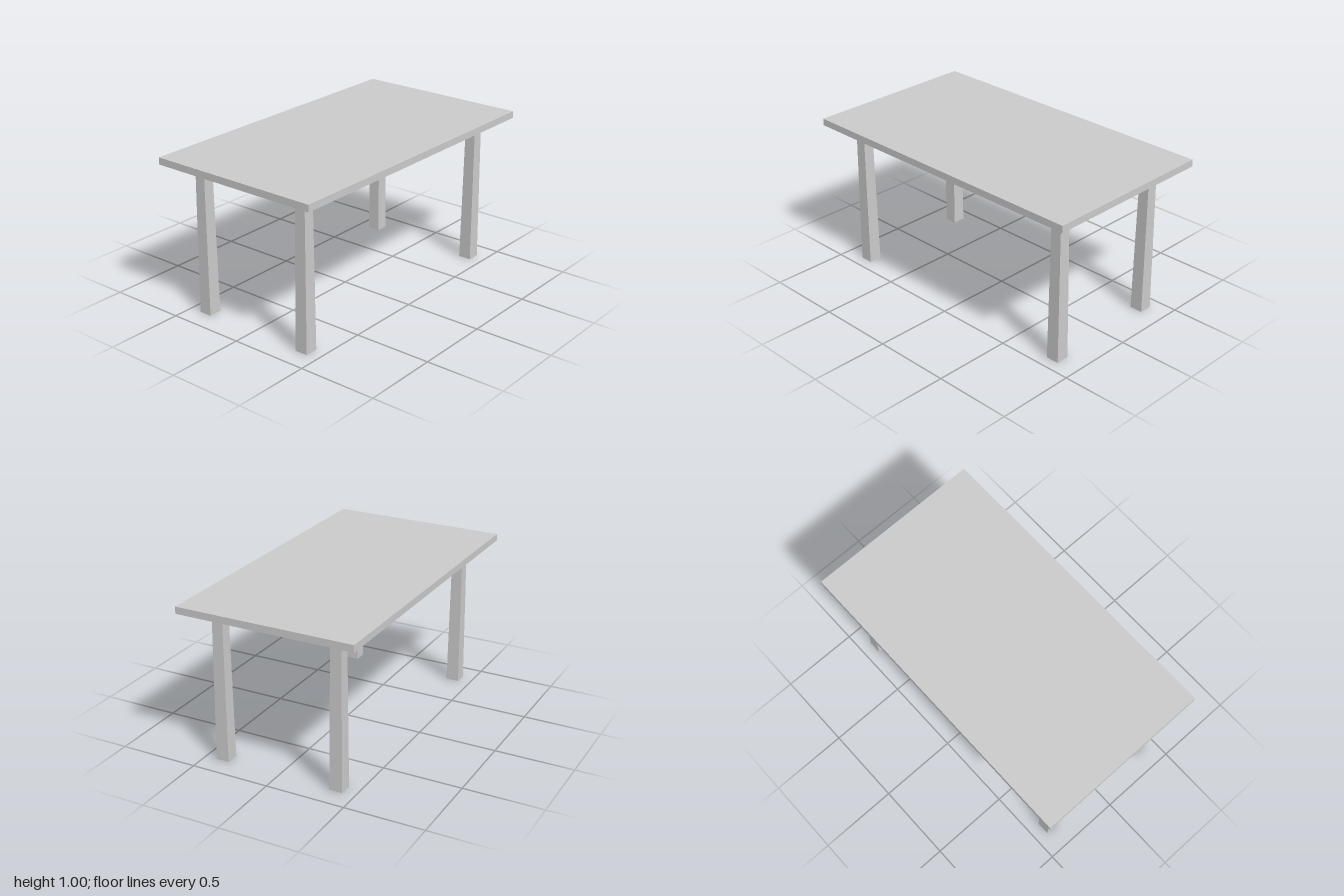
import * as THREE from 'three';

const material = new THREE.MeshStandardMaterial({ color: 0xcccccc, flatShading: true });

function addBox(group, name, size, position) {
  const mesh = new THREE.Mesh(new THREE.BoxGeometry(...size), material);
  mesh.name = name;
  mesh.position.set(...position);
  group.add(mesh);
  return mesh;
}

export function createModel() {
  const table = new THREE.Group();
  table.name = 'table';

  // Table top and the smaller solid plate beneath it
  addBox(table, 'tableTop', [2, 0.044, 1.13], [0, 0.978, 0]);
  addBox(table, 'underPlate', [1.776, 0.038, 0.906], [-0.001, 0.936, 0.002]);

  // Four square legs, tapering towards the top
  const height = 0.917, foot = 0.084, head = 0.069;
  for (const [sx, side] of [[1, 'Left'], [-1, 'Right']]) {
    for (const [sz, end] of [[1, 'front'], [-1, 'back']]) {
      const leg = addBox(table, `${end}${side}Leg`, [foot, height, foot],
        [-0.001 + sx * 0.826, height / 2, 0.002 + sz * 0.381]);
      const p = leg.geometry.attributes.position;
      for (let i = 0; i < p.count; i++) {
        const k = p.getY(i) > 0 ? head / foot : 1;
        p.setX(i, p.getX(i) * k);
        p.setZ(i, p.getZ(i) * k);
      }
      leg.geometry.computeVertexNormals();
    }
  }
  return table;
}
